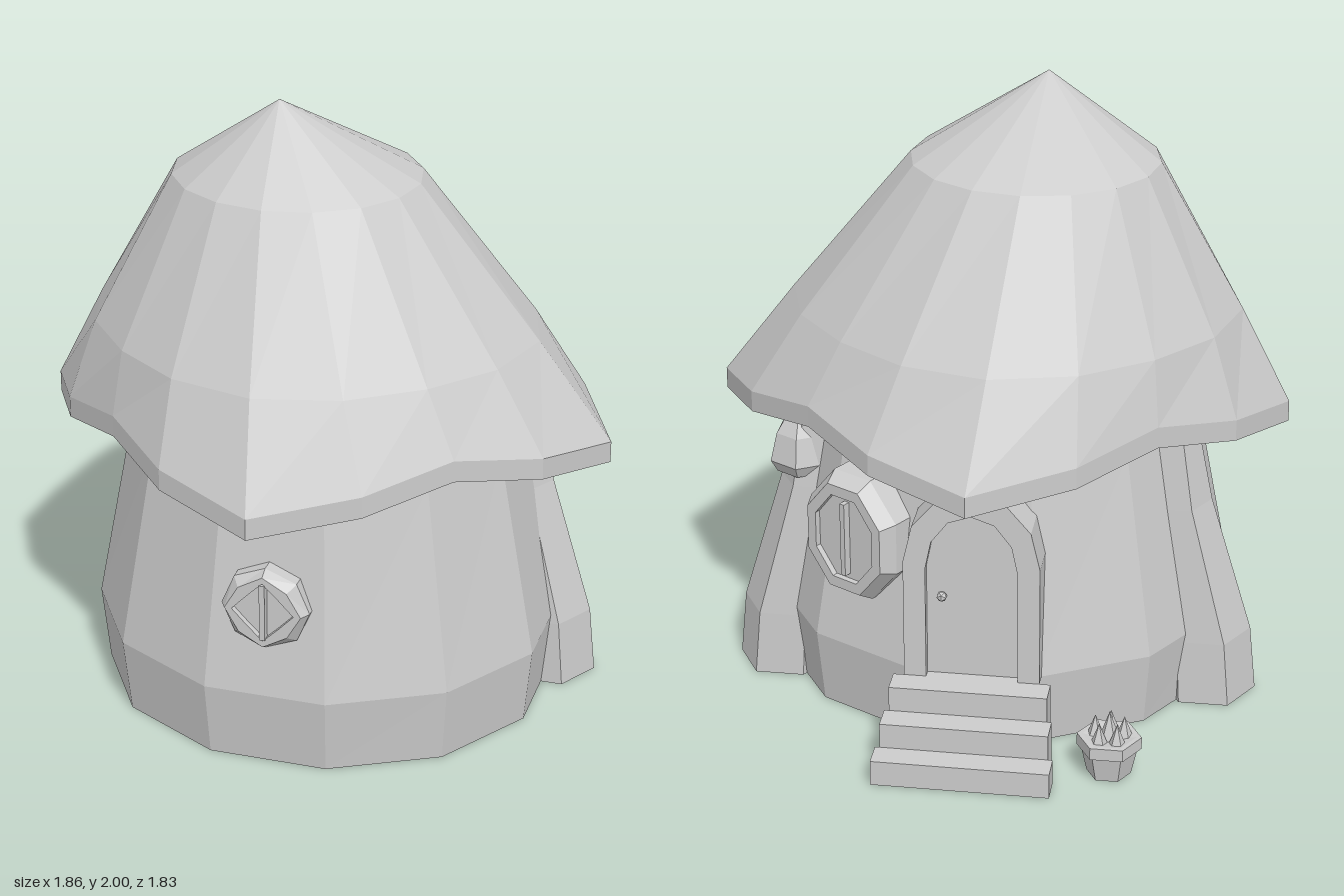
import * as THREE from 'three';

const stone = new THREE.MeshStandardMaterial({ color: 0xcccccc });
stone.name = 'plain grey';
stone.flatShading = true;
stone.side = THREE.DoubleSide;

// Horizontal ring of n points; radius and height may vary with the angle
function ring(n, cx, y, cz, rx, rz, turn = 0, radial = () => 1, lift = () => 0) {
  return Array.from({ length: n }, (_, i) => {
    const a = (i / n) * Math.PI * 2 + turn;
    const k = radial(a);
    return [cx + rx * k * Math.sin(a), y + lift(a), cz + rz * k * Math.cos(a)];
  });
}

// Skin a stack of rings, bottom to top
function loft(rings) {
  const n = rings[0].length, index = [];
  for (let i = 0; i < rings.length - 1; i++) {
    for (let j = 0; j < n; j++) {
      const k = (j + 1) % n;
      const a = i * n + j, b = i * n + k, c = b + n, d = a + n;
      index.push(a, b, c, a, c, d);
    }
  }
  const g = new THREE.BufferGeometry();
  g.setAttribute('position', new THREE.Float32BufferAttribute(rings.flat(2), 3));
  g.setIndex(index);
  const out = g.toNonIndexed();
  out.computeVertexNormals();
  return out;
}

function add(parent, name, geometry, x = 0, y = 0, z = 0) {
  const m = new THREE.Mesh(geometry, stone);
  m.name = name;
  m.position.set(x, y, z);
  parent.add(m);
  return m;
}

// Polygon outline points, with corners in the middle of the axes when turn = 0
const polygon = (n, rx, ry, turn = 0) => Array.from({ length: n }, (_, i) => {
  const a = (i / n) * Math.PI * 2 + turn;
  return new THREE.Vector2(rx * Math.cos(a), ry * Math.sin(a));
});

// Window facing +z: a bevelled frame, a sunken pane and an upright bar
function makeWindow(name, outer, inner, depth, barHeight) {
  const g = new THREE.Group();
  g.name = name;
  const n = outer.length;
  const at = (pts, z) => pts.map(p => [p.x, p.y, z]);
  const mid = outer.map((p, i) => p.clone().lerp(inner[i], 0.45));
  add(g, name + 'Frame', loft([
    at(outer, -0.1), at(outer, depth * 0.45), at(mid, depth), at(inner, depth),
    at(inner, depth - 0.02), Array(n).fill([0, 0, depth - 0.02]),
  ]));
  add(g, name + 'Bar', new THREE.BoxGeometry(0.018, barHeight, 0.03), 0, 0, depth - 0.01);
  return g;
}

// Arched outline standing on y = 0
function archPoints(w, straight, rise) {
  const pts = [new THREE.Vector2(-w, 0), new THREE.Vector2(w, 0)];
  for (let i = 0; i <= 6; i++) {
    const a = (i / 6) * Math.PI;
    pts.push(new THREE.Vector2(w * Math.cos(a), straight + rise * Math.sin(a)));
  }
  return pts;
}

export function createModel() {
  const house = new THREE.Group();
  house.name = 'cottage';
  const CZ = 0.07;

  // Twelve-sided wall, open above and below
  const t = Math.PI / 12;
  add(house, 'wall', loft([
    ring(12, 0, 0, CZ, 0.74, 0.68, t),
    ring(12, 0, 0.25, CZ, 0.765, 0.71, t),
    ring(12, 0, 0.92, CZ, 0.635, 0.6, t),
  ]));

  // Drooping roof: rim dips at four points, the tip leans aside
  const wave = a => (1 - Math.cos(4 * a)) / 2;
  const star = a => 1 - 0.165 * wave(a) - 0.012 * Math.abs(Math.sin(4 * a));
  add(house, 'roof', loft([
    ring(16, 0, 0.88, CZ, 0.64, 0.58, 0, a => 1, a => 0.05 * wave(a)),
    ring(16, 0, 0.875, CZ, 0.93, 0.845, 0, star, a => 0.11 * wave(a)),
    ring(16, 0, 0.945, CZ, 0.93, 0.845, 0, star, a => 0.11 * wave(a)),
    ring(16, -0.04, 1.26, CZ, 0.73, 0.672, 0, a => 1 - 0.05 * wave(a)),
    ring(16, -0.1, 1.74, CZ, 0.4, 0.365),
    ring(16, -0.13, 2, 0.155, 0, 0),
  ]));

  // Six-sided leaning posts on both sides
  for (const s of [1, -1]) {
    const hex = (x, y, r) => ring(6, s * x, y, -0.14, r, r, Math.PI / 6 * 3);
    add(house, s > 0 ? 'leftPost' : 'rightPost', loft([
      hex(0.705, 0, 0), hex(0.705, 0, 0.16), hex(0.69, 0.22, 0.153),
      hex(0.59, 0.68, 0.115), hex(0.565, 0.93, 0.09), hex(0.565, 0.93, 0),
    ]));
  }

  // Bell-shaped lantern hung on the left post
  const bell = (y, r) => ring(6, 0.63, y, -0.165, r, r);
  add(house, 'lantern', loft([
    bell(0.735, 0), bell(0.715, 0.085), bell(0.755, 0.108),
    bell(0.85, 0.085), bell(0.92, 0.04), bell(0.92, 0),
  ]));

  // Small diamond window in front
  const front = makeWindow('frontWindow', polygon(8, 0.143, 0.138),
    [0, 1, 2, 3, 4, 5, 6, 7].map(i => {
      const a = i * Math.PI / 4, k = i % 2 ? 0.72 : 1;
      return new THREE.Vector2(0.1 * k * Math.cos(a), 0.1 * k * Math.sin(a));
    }), 0.06, 0.19);
  front.position.set(0, 0.55, 0.705);
  house.add(front);

  // Large eight-sided window beside the door
  const side = makeWindow('sideWindow', polygon(8, 0.19, 0.225, Math.PI / 8),
    polygon(8, 0.125, 0.155, Math.PI / 8), 0.09, 0.25);
  side.position.set(0.38, 0.65, -0.455);
  side.rotation.y = Math.atan2(0.5, -0.87);
  house.add(side);

  // Arched doorway at the back with a recessed door and a knob
  const doorway = new THREE.Group();
  doorway.name = 'doorway';
  const arch = new THREE.Shape(archPoints(0.215, 0.4, 0.25));
  arch.holes.push(new THREE.Path(archPoints(0.145, 0.38, 0.19)));
  add(doorway, 'doorFrame', new THREE.ExtrudeGeometry(arch, { depth: 0.2, bevelEnabled: false }), 0, 0.25, -0.655);
  add(doorway, 'door', new THREE.ExtrudeGeometry(new THREE.Shape(archPoints(0.15, 0.38, 0.195)),
    { depth: 0.08, bevelEnabled: false }), 0, 0.25, -0.625);
  add(doorway, 'doorKnob', new THREE.IcosahedronGeometry(0.018, 0), 0.095, 0.53, -0.64);
  house.add(doorway);

  // Three steps, widening downward
  for (let i = 0; i < 3; i++) {
    const h = 0.25 - i * 0.083;
    add(house, 'step' + (i + 1), new THREE.BoxGeometry(0.5 + i * 0.03, h, 0.087), 0, h / 2, -0.698 - i * 0.087);
  }

  // Six-sided pot with pointed plants
  const pot = new THREE.Group();
  pot.name = 'plantPot';
  const rim = (y, r) => ring(6, 0, y, 0, r, r, Math.PI / 2);
  add(pot, 'pot', loft([rim(0, 0), rim(0, 0.07), rim(0.09, 0.09), rim(0.09, 0.102),
    rim(0.13, 0.102), rim(0.13, 0.085), rim(0.115, 0)]));
  for (let i = 0; i < 5; i++) {
    const a = (i / 5) * Math.PI * 2;
    add(pot, 'plant', new THREE.ConeGeometry(0.032, 0.085, 5), 0.048 * Math.sin(a), 0.15, 0.048 * Math.cos(a));
  }
  add(pot, 'plant', new THREE.ConeGeometry(0.035, 0.1, 5), 0, 0.165, 0);
  pot.position.set(-0.445, 0, -0.73);
  house.add(pot);

  return house;
}
